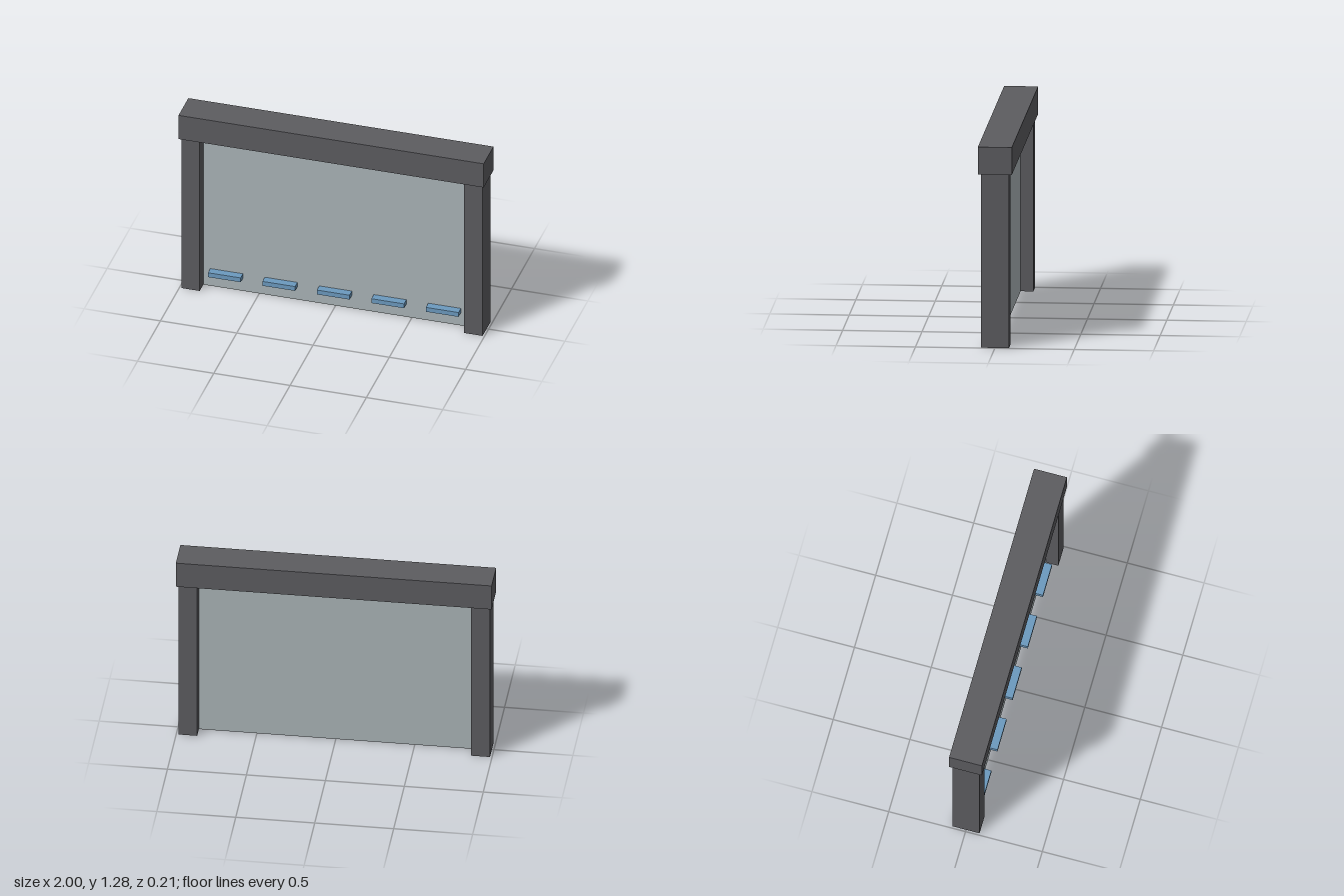
import * as THREE from 'three';

const material = (name, color) => {
  const m = new THREE.MeshStandardMaterial({ color });
  m.name = name;
  return m;
};

export function createModel() {
  const model = new THREE.Group();
  model.name = 'framedScreen';
  const frame = material('dark grey frame', 0x5c5c60);
  const panel = material('pale grey panel', 0xaab4b7);
  const light = material('blue light', 0x6c9abf);

  // Box given by its low and high corners
  const box = (name, mat, [x0, y0, z0], [x1, y1, z1]) => {
    const mesh = new THREE.Mesh(new THREE.BoxGeometry(x1 - x0, y1 - y0, z1 - z0), mat);
    mesh.position.set((x0 + x1) / 2, (y0 + y1) / 2, (z0 + z1) / 2);
    mesh.name = name;
    model.add(mesh);
  };

  // Header beam and the two posts
  box('header', frame, [-1, 1.11, -0.107], [1, 1.285, 0.107]);
  box('leftPost', frame, [0.867, 0, -0.088], [0.987, 1.11, 0.088]);
  box('rightPost', frame, [-0.987, 0, -0.088], [-0.867, 1.11, 0.088]);

  // Thin panel between the posts
  box('panel', panel, [-0.867, 0, -0.008], [0.867, 1.11, 0.008]);

  // Strip under the header, standing out on both sides of the panel
  box('topStrip', light, [-0.867, 1.07, -0.036], [0.867, 1.11, 0.036]);

  // Row of short bars low on the front
  for (let i = -2; i <= 2; i++) {
    const x = i * 0.357;
    box('lowerBar', light, [x - 0.107, 0.094, 0.008], [x + 0.107, 0.126, 0.06]);
  }
  return model;
}
